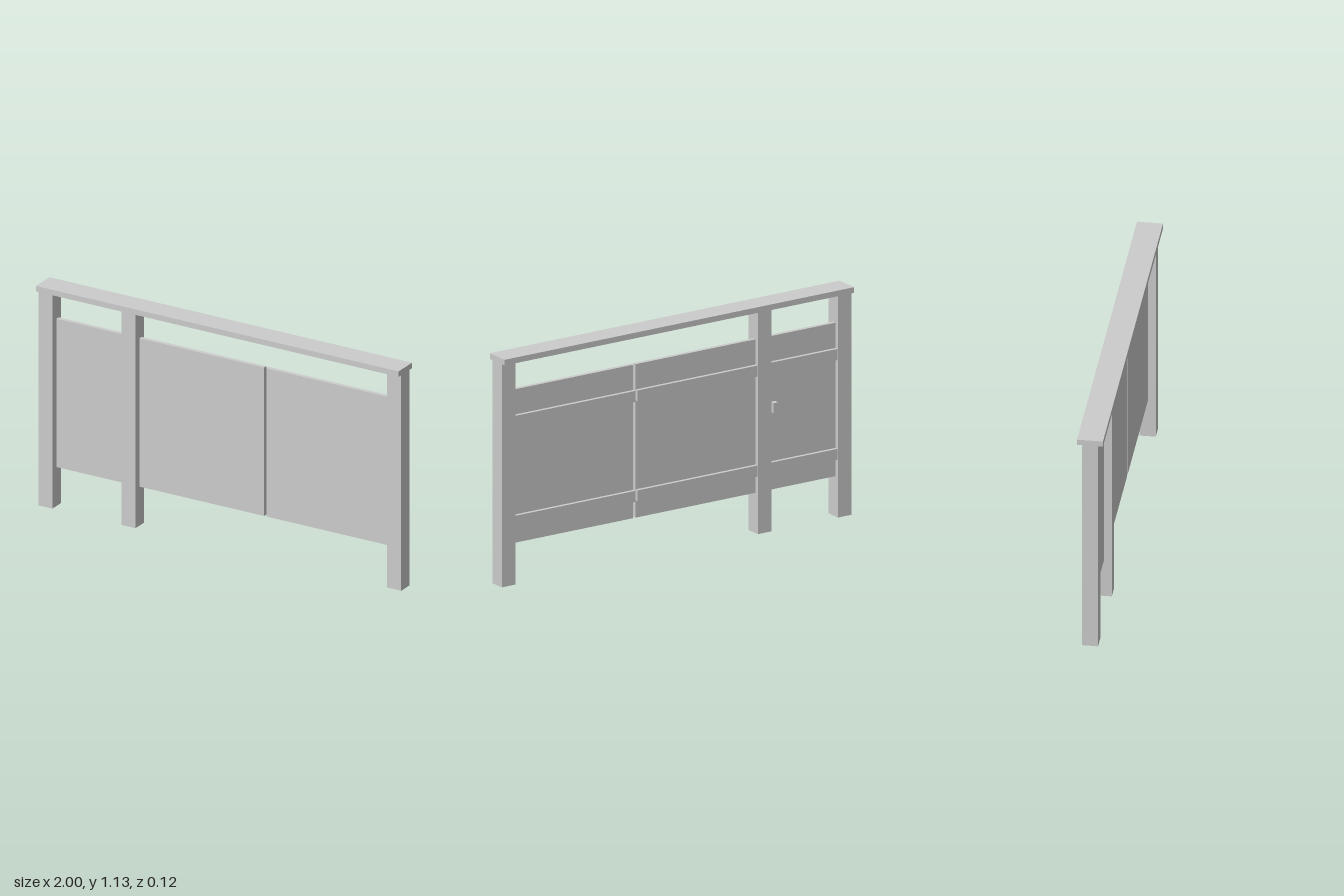
import * as THREE from 'three';

export function createModel() {
  const group = new THREE.Group();
  const material = new THREE.MeshStandardMaterial({ color: 0xcccccc, flatShading: true });

  // Box given by its limits on each axis
  function box(name, [x0, x1], [y0, y1], [z0, z1]) {
    const mesh = new THREE.Mesh(new THREE.BoxGeometry(x1 - x0, y1 - y0, z1 - z0), material);
    mesh.position.set((x0 + x1) / 2, (y0 + y1) / 2, (z0 + z1) / 2);
    mesh.name = name;
    group.add(mesh);
  }

  // Square posts: two at the ends, one beside the door
  const post = 0.077, half = post / 2, railBottom = 1.105;
  for (const [name, x] of [['rightPost', -1], ['doorPost', -0.542], ['leftPost', 1 - post]]) {
    box(name, [x, x + post], [0, railBottom], [-half, half]);
  }

  // Wide flat top rail
  box('topRail', [-1, 1], [railBottom, 1.133], [-0.062, 0.062]);

  // Panels, each with two flat battens on its back
  const panelBack = -0.019;
  const spans = { door: [-0.923, -0.542], middlePanel: [-0.465, 0.222], leftPanel: [0.235, 0.923] };
  for (const [name, span] of Object.entries(spans)) {
    box(name, span, [0.2, 0.96], [panelBack, 0.002]);
    box(name + 'UpperBatten', span, [0.78, 0.835], [-0.037, panelBack]);
    box(name + 'LowerBatten', span, [0.285, 0.34], [-0.037, panelBack]);
  }

  // Small block handle on the back of the door
  box('doorHandle', [-0.576, -0.55], [0.585, 0.635], [-0.046, panelBack]);

  return group;
}
